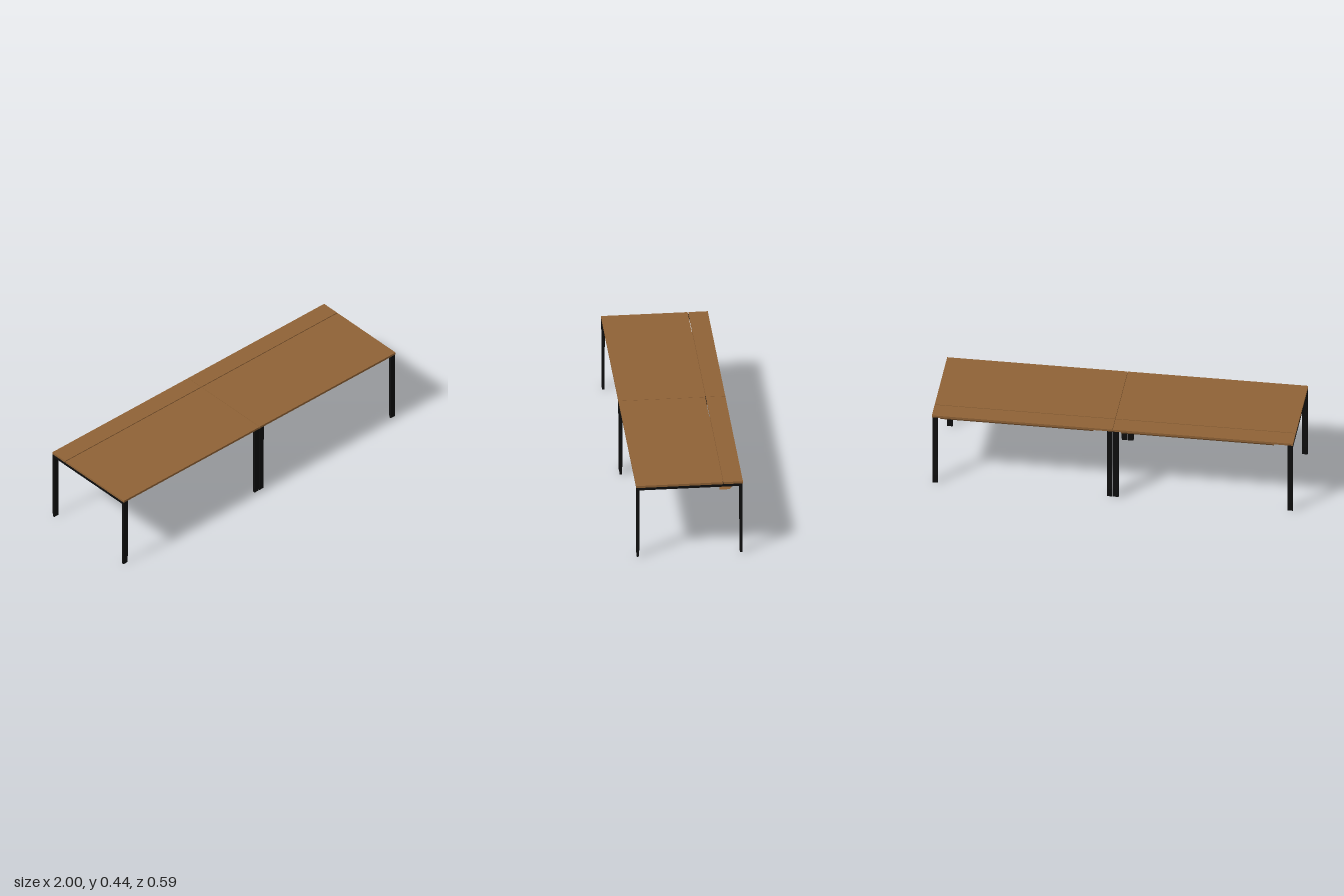
import * as THREE from 'three';

const mat = (name, color, side = THREE.FrontSide) => {
  const m = new THREE.MeshStandardMaterial({ color, side });
  m.name = name;
  return m;
};

export function createModel() {
  const wood = mat('brown wood', 0x8f6236);
  const tray = mat('brown tray', 0x8f6236, THREE.DoubleSide);
  const black = mat('black metal', 0x0e0e0e);
  const white = mat('white plate', 0xe8e8e8);

  // Box given by its minimum and maximum on each axis
  const box = (parent, name, material, [x0, x1], [y0, y1], [z0, z1]) => {
    const mesh = new THREE.Mesh(new THREE.BoxGeometry(x1 - x0, y1 - y0, z1 - z0), material);
    mesh.position.set((x0 + x1) / 2, (y0 + y1) / 2, (z0 + z1) / 2);
    mesh.name = name;
    parent.add(mesh);
    return mesh;
  };

  // Leg outline in z and y, narrowing at the foot
  const legShape = new THREE.Shape([
    [-0.006, 0], [0.0065, 0], [0.0075, 0.05], [0.0085, 0.428], [-0.0085, 0.428], [-0.0075, 0.05],
  ].map(([z, y]) => new THREE.Vector2(z, y)));
  const legGeometry = new THREE.ExtrudeGeometry(legShape, { depth: 0.03, bevelEnabled: false });
  legGeometry.translate(0, 0, -0.015).rotateY(Math.PI / 2);

  // Leg pair joined by a cross beam
  const legFrame = (x) => {
    const frame = new THREE.Group();
    frame.name = 'legFrame';
    for (const side of [-1, 1]) {
      const leg = new THREE.Mesh(legGeometry, black);
      leg.name = 'leg';
      leg.position.set(x, 0, side * 0.2845);
      frame.add(leg);
    }
    box(frame, 'crossBeam', black, [x - 0.015, x + 0.015], [0.411, 0.4275], [-0.28, 0.28]);
    return frame;
  };

  // Open folded sheet of the cable tray, swept along x
  const cableTray = (x0, x1) => {
    const profile = [[-0.252, 0.4125], [-0.225, 0.3755], [-0.17, 0.3755], [-0.17, 0.402]];
    const positions = [];
    for (let i = 0; i < profile.length - 1; i++) {
      const [[za, ya], [zb, yb]] = [profile[i], profile[i + 1]];
      positions.push(x0, ya, za, x0, yb, zb, x1, yb, zb, x0, ya, za, x1, yb, zb, x1, ya, za);
    }
    const geometry = new THREE.BufferGeometry();
    geometry.setAttribute('position', new THREE.Float32BufferAttribute(positions, 3));
    geometry.computeVertexNormals();
    const mesh = new THREE.Mesh(geometry, tray);
    mesh.name = 'cableTray';
    return mesh;
  };

  // Socket plate with two black outlets on the tray lip
  const socket = (x) => {
    const group = new THREE.Group();
    group.name = 'socket';
    box(group, 'socketBody', black, [x - 0.028, x + 0.028], [0.382, 0.4], [-0.1715, -0.168]);
    box(group, 'socketPlate', white, [x - 0.025, x + 0.025], [0.385, 0.397], [-0.168, -0.1675]);
    for (const s of [-1, 1]) {
      const cx = x + s * 0.011;
      box(group, 'outlet', black, [cx - 0.009, cx + 0.009], [0.387, 0.395], [-0.1675, -0.167]);
    }
    return group;
  };

  // One desk starting at x0
  const desk = (name, x0, x1, sockets) => {
    const group = new THREE.Group();
    group.name = name;
    box(group, 'frontTop', wood, [x0, x1], [0.4275, 0.44], [-0.183, 0.294]);
    box(group, 'backTop', wood, [x0, x1], [0.4275, 0.44], [-0.294, -0.1875]);
    group.add(legFrame(x0 + 0.0155), legFrame(x1 - 0.0175));
    for (const z of [-0.155, 0.155]) {
      box(group, 'rail', wood, [x0 + 0.03, x1 - 0.03], [0.411, 0.421], [z - 0.011, z + 0.011]);
    }
    group.add(cableTray(x0 + 0.115, x1 - 0.037));
    for (const x of sockets) group.add(socket(x));
    return group;
  };

  const model = new THREE.Group();
  model.name = 'doubleDesk';
  model.add(desk('rightDesk', -1, -0.002, [-0.78, -0.31]));
  model.add(desk('leftDesk', 0, 1, [0.19, 0.67]));
  return model;
}
